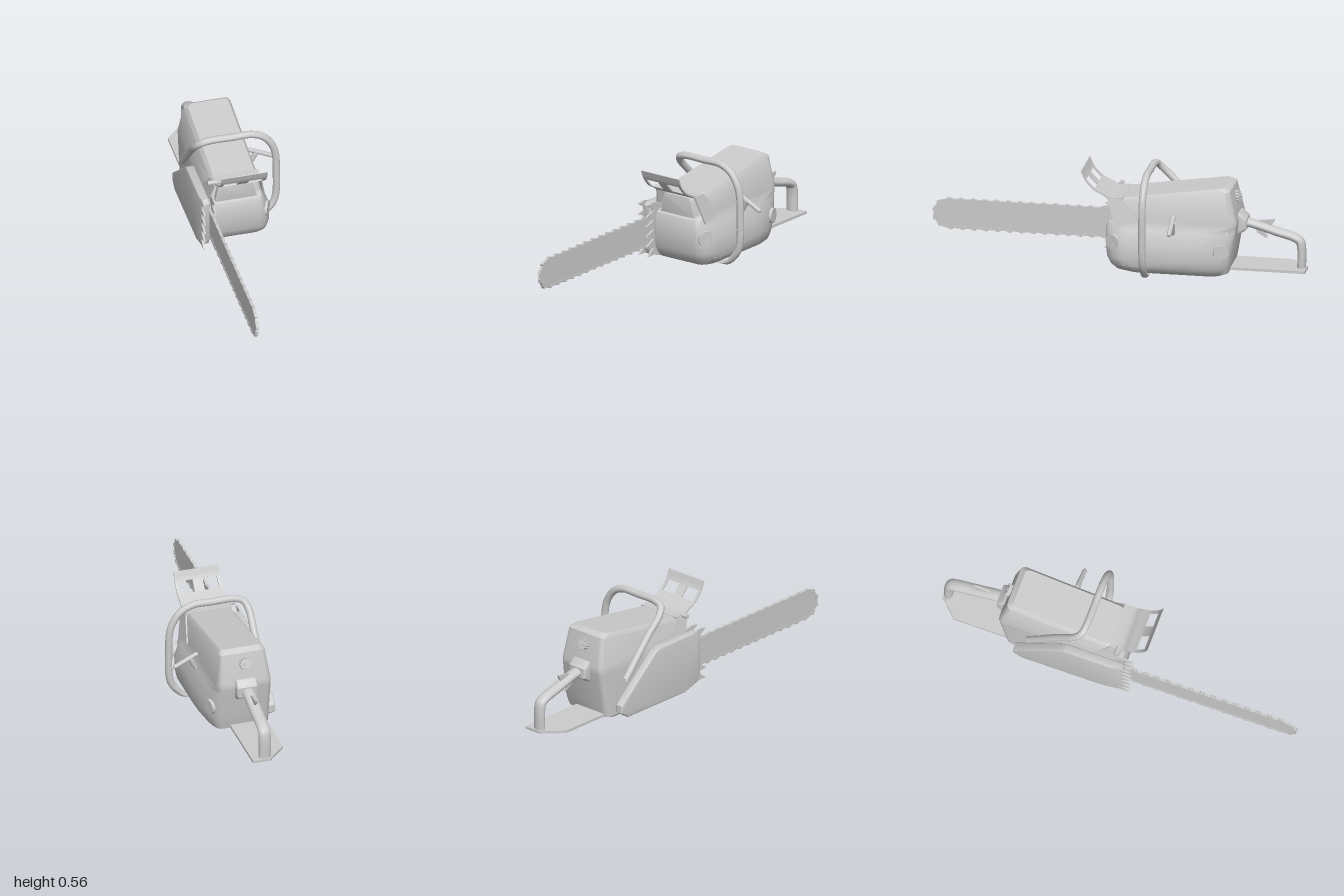
import * as THREE from 'three';
import { toCreasedNormals } from 'three/addons/utils/BufferGeometryUtils.js';

const material = new THREE.MeshStandardMaterial({ color: 0xcccccc, side: THREE.DoubleSide });
const V = (x, y, z) => new THREE.Vector3(x, y, z);

function add(parent, name, geometry, x = 0, y = 0, z = 0) {
  const mesh = new THREE.Mesh(geometry, material);
  mesh.name = name;
  mesh.position.set(x, y, z);
  parent.add(mesh);
  return mesh;
}

// Extrude a [z, y] outline between two x positions
function sideExtrude(points, x0, x1, bevel = 0) {
  const shape = new THREE.Shape(points.map(([z, y]) => new THREE.Vector2(-z, y)));
  const g = new THREE.ExtrudeGeometry(shape, {
    depth: x1 - x0 - 2 * bevel, bevelEnabled: bevel > 0, bevelSize: bevel, bevelOffset: -bevel,
    bevelThickness: bevel, bevelSegments: 3,
  });
  return toCreasedNormals(g.translate(0, 0, x0 + bevel).rotateY(Math.PI / 2), 0.6);
}

// Rounded plan outline; each corner is an ellipse arc [rx, rz]
function planRing(l, r, front, back, y, slope, rightRx, rightRz) {
  const corners = [
    [r, front, rightRx, Math.min(0.11, rightRz), 0], [l, front, 0.03, 0.03, 1],
    [l, back, 0.03, 0.03, 2], [r, back, rightRx, rightRz, 3],
  ];
  const ring = [];
  for (const [cx, cz, rx, rz, q] of corners) {
    const sx = q === 0 || q === 3 ? 1 : -1, sz = q < 2 ? 1 : -1;
    for (let i = 0; i <= 5; i++) {
      const a = (q + i / 5) * Math.PI / 2;
      const z = cz - sz * rz + Math.sin(a) * rz;
      ring.push(V(cx - sx * rx + Math.cos(a) * rx, y - slope * z, z));
    }
  }
  return ring;
}

// Stack rings from bottom to top and close both ends
function loft(rings) {
  const n = rings[0].length, pos = [], index = [];
  const top = rings.length - 1;
  rings.forEach(r => r.forEach(p => pos.push(p.x, p.y, p.z)));
  const centre = r => r.reduce((s, p) => s.add(p), V(0, 0, 0)).divideScalar(n);
  [rings[0], rings[top]].forEach(r => pos.push(...centre(r).toArray()));
  const c0 = n * rings.length;
  for (let i = 0; i < n; i++) {
    const j = (i + 1) % n;
    for (let k = 0; k < top; k++) {
      const a = k * n + i, b = k * n + j;
      index.push(a, a + n, b, b, a + n, b + n);
    }
    index.push(c0, i, j, c0 + 1, top * n + j, top * n + i);
  }
  const g = new THREE.BufferGeometry();
  g.setAttribute('position', new THREE.Float32BufferAttribute(pos, 3));
  g.setIndex(index);
  return toCreasedNormals(g, 0.6);
}

// Stadium-shaped [z, y] outline of the guide bar
function barOutline(r) {
  const pts = [[-0.1, 0.183 - r]];
  for (let i = 0; i <= 20; i++) {
    const a = -Math.PI / 2 + Math.PI * i / 20;
    pts.push([0.913 + Math.cos(a) * r, 0.183 + Math.sin(a) * r]);
  }
  pts.push([-0.1, 0.183 + r]);
  return pts;
}

export function createModel() {
  const model = new THREE.Group();
  model.name = 'chainsaw';

  // Engine housing: y, left, right, front, back, top slope, right corner rx, rz
  const layers = [
    [0.015, -0.18, 0.09, -0.07, -0.57, 0, 0.04, 0.08],
    [0.03, -0.195, 0.115, -0.02, -0.605, 0, 0.05, 0.2],
    [0.06, -0.195, 0.14, 0.012, -0.612, 0, 0.07, 0.25],
    [0.10, -0.195, 0.145, 0.03, -0.62, 0, 0.07, 0.25],
    [0.18, -0.195, 0.144, 0.036, -0.633, 0, 0.07, 0.25],
    [0.25, -0.195, 0.115, 0.034, -0.645, 0, 0.04, 0.2],
    [0.28, -0.195, 0.1, 0.022, -0.65, 0, 0.03, 0.06],
    [0.295, -0.195, 0.098, -0.015, -0.652, 0, 0.03, 0.05],
    [0.31, -0.192, 0.095, -0.02, -0.65, 0.01, 0.03, 0.04],
    [0.383, -0.172, 0.077, -0.03, -0.615, 0.145, 0.02, 0.03],
    [0.402, -0.155, 0.062, -0.045, -0.585, 0.15, 0.02, 0.03],
  ];
  add(model, 'engineHousing', loft(layers.map(([y, l, r, f, b, s, rx, rz]) =>
    planRing(l, r, f, b, y, s, rx, rz))));

  // Raised front panel
  const panel = new THREE.Shape();
  panel.moveTo(-0.155, 0.27).lineTo(0.055, 0.27).quadraticCurveTo(0.066, 0.28, 0.06, 0.3);
  panel.lineTo(0.042, 0.37).quadraticCurveTo(0.035, 0.395, 0.015, 0.395).lineTo(-0.1, 0.395);
  panel.quadraticCurveTo(-0.135, 0.395, -0.142, 0.37).lineTo(-0.16, 0.29).closePath();
  add(model, 'frontPanel', toCreasedNormals(new THREE.ExtrudeGeometry(panel, {
    depth: 0.03, bevelSize: 0.006, bevelOffset: -0.006, bevelThickness: 0.008, bevelSegments: 3,
  }), 0.6), 0, 0, -0.03);

  // Side cover over the drive
  add(model, 'driveCover', sideExtrude([[0.05, 0.31], [0.03, 0.328], [-0.26, 0.328], [-0.29, 0.315],
    [-0.55, 0.09], [-0.55, 0.05], [-0.5, 0.016], [-0.06, 0.016], [0.03, 0.045], [0.05, 0.08]],
    -0.245, -0.2, 0.006));
  add(model, 'driveSeal', sideExtrude([[0.0, 0.3], [-0.25, 0.3], [-0.5, 0.09], [-0.5, 0.03], [0, 0.04]], -0.205, -0.185));

  // Guide bar and chain
  add(model, 'guideBar', sideExtrude(barOutline(0.072), -0.2, -0.19));
  const rail = [...barOutline(0.079), ...barOutline(0.068).reverse()];
  add(model, 'chain', sideExtrude(rail, -0.202, -0.188));
  const teeth = new THREE.Group();
  teeth.name = 'chainTeeth';
  model.add(teeth);
  const toothShape = [[-0.014, -0.006], [0.014, -0.006], [0.012, 0.006], [-0.008, 0.002]];
  const tooth = sideExtrude(toothShape, -0.008, 0.008);
  for (let i = 0; i < 14; i++) {
    const z = 0.1 + i * 0.062;
    add(teeth, 'tooth', tooth, -0.195, 0.183 + 0.081, z);
    add(teeth, 'tooth', tooth, -0.195, 0.183 - 0.081, z).rotation.x = Math.PI;
  }
  for (let i = 0; i < 4; i++) {
    const a = -0.9 + i * 0.6;
    add(teeth, 'tooth', tooth, -0.195, 0.183 + Math.sin(a) * 0.081, 0.913 + Math.cos(a) * 0.081)
      .rotation.x = Math.PI / 2 - a;
  }

  // Bumper spikes on both sides of the bar
  const spikes = [[-0.02, 0.05]];
  for (let i = 0; i < 6; i++) {
    const y = 0.065 + i * 0.05, lean = (i - 2.5) * 0.006;
    spikes.push([0.045, y - 0.015], [0.108 - Math.abs(lean), y + lean], [0.045, y + 0.022]);
  }
  spikes.push([-0.02, 0.32]);
  for (const x of [-0.244, -0.186]) add(model, 'bumperSpikes', sideExtrude(spikes, x, x + 0.01));

  // Wrap-around front handle, flattened at its lower foot
  const wrap = new THREE.CatmullRomCurve3([
    V(0.062, 0.012, -0.18), V(0.12, 0.015, -0.18), V(0.165, 0.045, -0.18), V(0.2, 0.09, -0.18),
    V(0.214, 0.15, -0.18), V(0.216, 0.26, -0.18), V(0.211, 0.39, -0.18), V(0.194, 0.45, -0.18),
    V(0.15, 0.51, -0.18), V(0.085, 0.54, -0.18), V(-0.02, 0.541, -0.18), V(-0.14, 0.54, -0.182),
    V(-0.185, 0.525, -0.19), V(-0.205, 0.49, -0.22), V(-0.206, 0.4, -0.31), V(-0.206, 0.21, -0.48),
  ], false, 'centripetal');
  const wrapGeo = new THREE.TubeGeometry(wrap, 110, 0.019, 14);
  const p = wrapGeo.attributes.position;
  for (let i = 0; i < p.count; i++) {
    const x = p.getX(i), y = p.getY(i);
    if (x < 0 || y > 0.1) continue;
    const k = THREE.MathUtils.clamp((0.17 - x) / 0.08, 0, 1);
    p.setY(i, y * (1 - k) + (0.006 + y * 0.25) * k);
  }
  wrapGeo.computeVertexNormals();
  add(model, 'frontHandle', wrapGeo);

  // Hand guard: a curved sheet with two windows
  const curve = new THREE.CatmullRomCurve3([V(0, 0.545, 0.167), V(0, 0.495, 0.145), V(0, 0.445, 0.098),
    V(0, 0.42, 0.05), V(0, 0.402, 0.02), V(0, 0.4, -0.05)]);
  const guard = new THREE.Group();
  guard.name = 'handGuard';
  model.add(guard);
  const band = (t0, t1, x0, x1) => {
    const outer = [], inner = [];
    for (let i = 0; i <= 8; i++) {
      const t = t0 + (t1 - t0) * i / 8, c = curve.getPoint(t), d = curve.getTangent(t);
      const w = 0.005 + 0.006 * t;
      outer.push([c.z, c.y]);
      inner.unshift([c.z + d.y * w, c.y - d.z * w]);
    }
    return sideExtrude([...outer, ...inner], x0, x1);
  };
  add(guard, 'guardTop', band(0, 0.2, -0.165, 0.08));
  add(guard, 'guardBase', band(0.4, 1, -0.165, 0.08));
  for (const [a, b] of [[-0.165, -0.148], [-0.07, -0.015], [0.063, 0.08]])
    add(guard, 'guardPost', band(0.2, 0.4, a, b));
  const bracket = [[0.03, 0.41], [-0.05, 0.405], [-0.145, 0.29], [-0.02, 0.255]];
  for (const side of [-1, 1]) {
    const g = sideExtrude(bracket, -0.004, 0.004);
    add(guard, 'guardBracket', g.translate(0, -0.41, 0), side > 0 ? 0.079 : -0.168, 0.41, 0)
      .rotation.z = side * 0.2;
  }
  add(guard, 'guardPivot', new THREE.CylinderGeometry(0.012, 0.012, 0.05, 16).rotateZ(Math.PI / 2), -0.175, 0.408, 0.0);

  // Rear handle with mount, base plate and trigger
  const grip = new THREE.CatmullRomCurve3([V(0, 0.285, -0.63), V(0, 0.27, -0.72), V(0, 0.235, -0.84),
    V(0, 0.21, -0.93), V(0, 0.19, -0.962), V(0, 0.15, -0.971), V(0, 0.045, -0.971)], false, 'centripetal');
  add(model, 'rearHandle', new THREE.TubeGeometry(grip, 60, 0.023, 16), -0.053).scale.x = 1.45;
  add(model, 'handleMount', sideExtrude([[-0.6, 0.34], [-0.655, 0.335], [-0.69, 0.305], [-0.69, 0.25],
    [-0.655, 0.225], [-0.6, 0.22]], -0.11, 0.005, 0.012));
  const plate = new THREE.Shape([[-0.175, -0.55], [0.02, -0.55], [0.02, -1], [-0.08, -1], [-0.088, -0.985],
    [-0.175, -0.9]].map(([x, z]) => new THREE.Vector2(x, -z)));
  add(model, 'basePlate', new THREE.ExtrudeGeometry(plate, { depth: 0.014, bevelEnabled: false })
    .rotateX(-Math.PI / 2), 0, 0.035);
  add(model, 'trigger', sideExtrude([[-0.72, 0.26], [-0.74, 0.225], [-0.785, 0.198], [-0.795, 0.205],
    [-0.775, 0.225], [-0.8, 0.245]], -0.063, -0.043));
  add(model, 'triggerLock', sideExtrude([[-0.73, 0.275], [-0.755, 0.292], [-0.83, 0.3], [-0.825, 0.285],
    [-0.8, 0.255]], -0.059, -0.047));

  // Tank caps on the side and a ribbed knob at the rear
  const cap = new THREE.CylinderGeometry(0.04, 0.042, 0.034, 28).rotateZ(-Math.PI / 2);
  add(model, 'frontCap', cap, 0.112, 0.185, -0.012).rotation.y = -0.45;
  add(model, 'rearCap', cap, 0.112, 0.16, -0.575).rotation.y = 0.3;
  const knob = new THREE.Group();
  knob.name = 'rearKnob';
  knob.position.set(-0.053, 0.415, -0.632);
  knob.rotation.x = -1.25;
  model.add(knob);
  add(knob, 'knobDisc', new THREE.CylinderGeometry(0.026, 0.028, 0.034, 24));
  add(knob, 'knobHub', new THREE.CylinderGeometry(0.01, 0.012, 0.044, 12));
  for (let i = 0; i < 12; i++) {
    const a = i * Math.PI / 6;
    add(knob, 'knobRib', new THREE.CylinderGeometry(0.005, 0.005, 0.038, 8), Math.cos(a) * 0.027, 0, Math.sin(a) * 0.027);
  }

  // Pull-starter T handle
  const starter = new THREE.Group();
  starter.name = 'starterHandle';
  starter.position.set(0.145, 0.31, -0.325);
  starter.rotation.z = -0.45;
  model.add(starter);
  add(starter, 'starterBar', new THREE.CapsuleGeometry(0.012, 0.125, 6, 14).rotateZ(Math.PI / 2), 0.025, 0.005);
  add(starter, 'starterStem', new THREE.CylinderGeometry(0.015, 0.009, 0.11, 14), 0, -0.05);
  return model;
}
